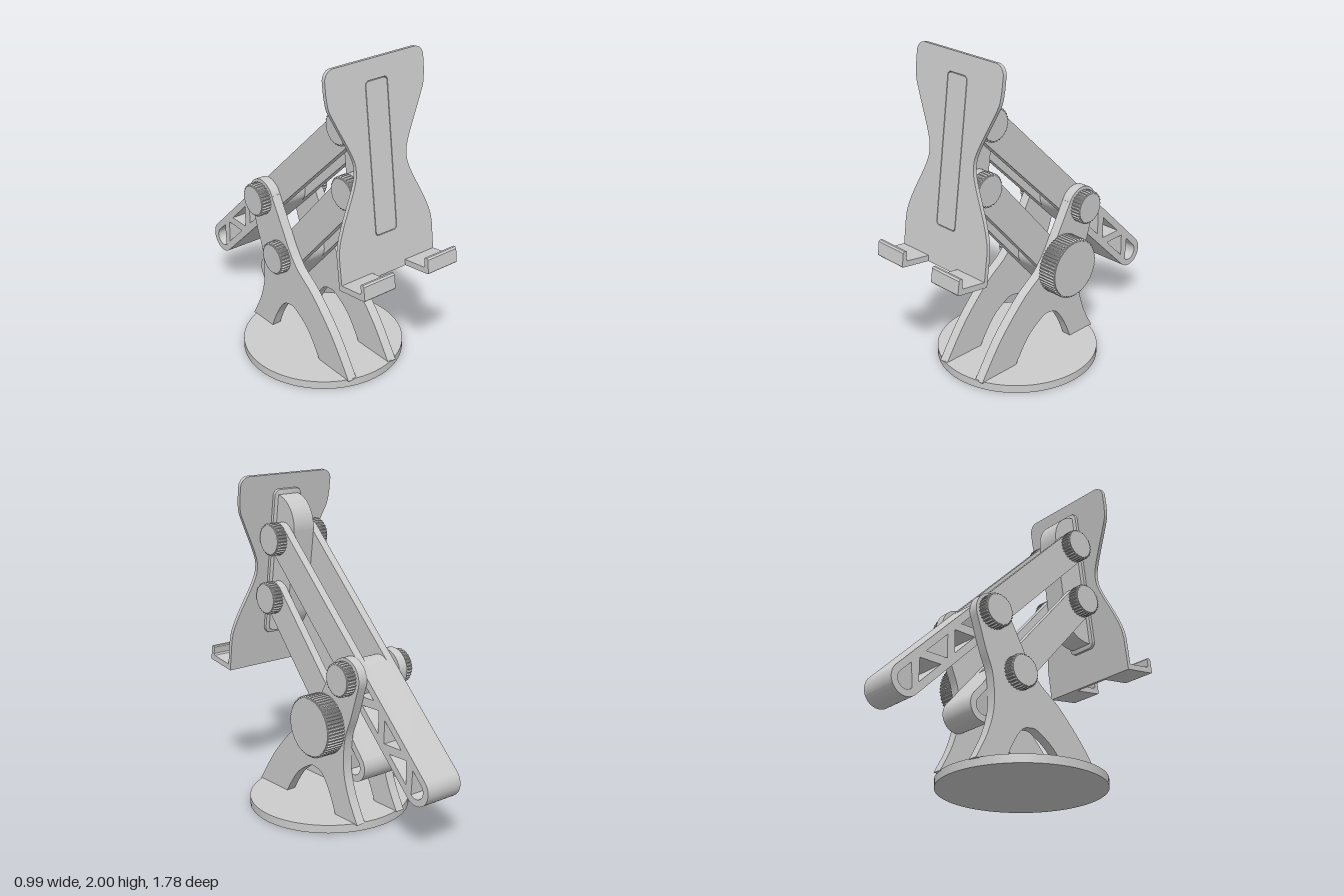
import * as THREE from 'three';
import { toCreasedNormals } from 'three/addons/utils/BufferGeometryUtils.js';

const material = new THREE.MeshStandardMaterial({ color: 0xcccccc });
const V = (x, y) => new THREE.Vector2(x, y);

function mesh(name, geometry, parent) {
  const m = new THREE.Mesh(geometry, material);
  m.name = name;
  parent.add(m);
  return m;
}

// Extrusion from depth a to depth b, with smooth curves and sharp edges
function slab(shape, a, b, bevel = 0) {
  const g = new THREE.ExtrudeGeometry(shape, {
    depth: b - a - 2 * bevel, curveSegments: 20,
    bevelEnabled: bevel > 0, bevelSize: bevel, bevelThickness: bevel, bevelOffset: -bevel, bevelSegments: 2,
  });
  return toCreasedNormals(g.translate(0, 0, a + bevel), 0.5);
}

// Turns a side profile (horizontal = -z, vertical = y) so its depth runs along x
const sideways = (g) => g.rotateY(Math.PI / 2);

function roundedRect(w, y0, y1, r) {
  const s = new THREE.Shape();
  s.absarc(w - r, y0 + r, r, -Math.PI / 2, 0);
  s.absarc(w - r, y1 - r, r, 0, Math.PI / 2);
  s.absarc(-w + r, y1 - r, r, Math.PI / 2, Math.PI);
  s.absarc(-w + r, y0 + r, r, Math.PI, Math.PI * 1.5);
  return s;
}

// Knurled thumb knob reaching from |x| = inner to |x| = outer
function knob(name, parent, z, y, radius, inner, outer, side, ridges) {
  const pts = [];
  const steps = ridges * 4;
  for (let i = 0; i < steps; i++) {
    const t = (i / steps) * Math.PI * 2;
    const r = radius - (i % 4 < 2 ? 0 : 0.008);
    pts.push(V(Math.cos(t) * r, Math.sin(t) * r));
  }
  const a = side > 0 ? inner : -outer, b = side > 0 ? outer : -inner;
  const k = mesh(name, sideways(slab(new THREE.Shape(pts), a, b, 0.008)), parent);
  k.position.set(0, y, z);
  // Plain round cap standing just proud of the knurling
  const cap = new THREE.CylinderGeometry(radius - 0.012, radius - 0.012, outer - inner + 0.003, 40);
  cap.rotateZ(Math.PI / 2).translate(side * (inner + outer + 0.003) / 2, 0, 0);
  mesh(name + 'Cap', cap, parent).position.set(0, y, z);
}

// Round-ended bar along +x with cut-outs
function bar(u0, u1, r, holes) {
  const s = new THREE.Shape();
  s.absarc(u1, 0, r, -Math.PI / 2, Math.PI / 2);
  s.absarc(u0, 0, r, Math.PI / 2, Math.PI * 1.5);
  s.closePath();
  s.holes.push(...holes);
  return s;
}

// Forked arm: two full-length rails, solid across behind its pivot
function arm(name, parent, pivot, angle, front, back, triangles) {
  const group = new THREE.Group();
  group.name = name;
  parent.add(group);
  const holes = triangles.map((t) => new THREE.Path(t.map(([u, v]) => V(u, v))));
  const end = new THREE.Path();
  end.moveTo(back - 0.01, -0.055);
  end.absarc(back, 0, 0.055, -Math.PI / 2, Math.PI / 2);
  end.lineTo(back - 0.095, 0.055);
  end.closePath();
  holes.push(end);
  const place = (g) => sideways(g.rotateZ(angle).translate(-pivot[0], pivot[1], 0));
  for (const a of [-0.125, 0.075]) {
    mesh('armRail', place(slab(bar(-front, back, 0.096, holes), a, a + 0.05)), group);
  }
  mesh('armCore', place(slab(bar(0, back, 0.096, holes), -0.075, 0.075)), group);
}

// Side cheek of the stand: two curved feet with an arch and a neck up to the top pivot
function cheekShape() {
  const s = new THREE.Shape();
  s.moveTo(-0.585, 0.045);
  s.splineThru([V(-0.43, 0.27), V(-0.245, 0.466), V(-0.1, 0.575), V(-0.02, 0.67), V(0.045, 0.784), V(0.152, 0.97)]);
  s.absarc(0.26, 0.92, 0.12, 2.7, -0.32, true);
  s.splineThru([V(0.31, 0.69), V(0.257, 0.546), V(0.247, 0.36), V(0.29, 0.2), V(0.37, 0.045)]);
  s.lineTo(0.17, 0.045);
  s.splineThru([V(0.115, 0.17), V(0.045, 0.27), V(-0.02, 0.295), V(-0.08, 0.285), V(-0.2, 0.2), V(-0.31, 0.045)]);
  s.closePath();
  return s;
}

// Tilted device holder, built upright with its lower front edge at the origin
function holder(parent) {
  const g = new THREE.Group();
  g.name = 'holder';
  g.position.set(0, 0.783, 0.7);
  g.rotation.x = -0.139;
  parent.add(g);

  // Waisted back plate with a slot
  const H = 1.232;
  const right = [V(0.34, 0.2), V(0.328, 0.27), V(0.29, 0.37), V(0.2, 0.56), V(0.18, 0.65),
    V(0.2, 0.74), V(0.295, 0.94), V(0.33, 1.02), V(0.34, 1.1)];
  const s = new THREE.Shape();
  s.moveTo(-0.34, 0);
  s.lineTo(0.34, 0);
  s.lineTo(0.34, 0.2);
  s.splineThru(right.slice(1));
  s.absarc(0.28, H - 0.06, 0.06, 0, Math.PI / 2);
  s.absarc(-0.28, H - 0.06, 0.06, Math.PI / 2, Math.PI);
  s.lineTo(-0.34, 1.1);
  s.splineThru(right.slice(0, -1).reverse().map((p) => V(-p.x, p.y)));
  s.closePath();
  s.holes.push(new THREE.Path(roundedRect(0.077, 0.24, 1.117, 0.022).getPoints(8)));
  mesh('backPlate', slab(s, -0.024, 0), g);
  mesh('slotInsert', slab(roundedRect(0.073, 0.244, 1.113, 0.02), -0.03, 0), g);
  mesh('mountFlange', slab(roundedRect(0.1, 0.215, 1.142, 0.04), -0.046, -0.023, 0.006), g);

  // Mounting tongue gripped by both arms
  const t = new THREE.Shape();
  t.moveTo(0.025, 0.245);
  t.lineTo(0.04, 0.245);
  t.absellipse(0.04, 0.425, 0.184, 0.18, -Math.PI / 2, 0);
  t.absellipse(0.04, 0.92, 0.184, 0.19, 0, Math.PI / 2);
  t.lineTo(0.025, 1.11);
  t.closePath();
  mesh('mountTongue', sideways(slab(t, -0.074, 0.074)), g);

  // Pair of hooked rests
  const lip = new THREE.Shape([[0.02, 0], [-0.185, 0], [-0.19, 0.005], [-0.19, 0.085], [-0.182, 0.095],
    [-0.168, 0.095], [-0.163, 0.088], [-0.163, 0.045], [-0.155, 0.035], [0.02, 0.035]].map(([x, y]) => V(x, y)));
  for (const a of [-0.34, 0.122]) mesh('restHook', sideways(slab(lip, a, a + 0.218)), g);
}

export function createModel() {
  const model = new THREE.Group();
  model.name = 'deviceStand';

  // Round base
  mesh('base', new THREE.CylinderGeometry(0.494, 0.494, 0.05, 72), model).position.set(0, 0.025, 0.113);

  // Side cheeks
  for (const a of [-0.185, 0.125]) mesh('sideCheek', sideways(slab(cheekShape(), a, a + 0.06)), model);

  // Parallel arms, with truss cut-outs behind the pivots
  const truss = [
    [[0.06, 0.053], [0.105, -0.04], [0.197, 0.053]],
    [[0.165, -0.053], [0.358, -0.053], [0.262, 0.048]],
    [[0.328, 0.053], [0.426, -0.048], [0.526, 0.053]],
    [[0.492, -0.053], [0.69, -0.053], [0.59, 0.048]],
  ];
  arm('upperArm', model, [-0.26, 0.92], -0.778, 0.997, 0.752, truss);
  arm('lowerArm', model, [-0.07, 0.6], -0.851, 0.8645, 0.3, [[[0.04, -0.053], [0.235, -0.053], [0.138, 0.048]]]);

  holder(model);

  // Knobs on every pivot; the main one is larger
  for (const side of [1, -1]) {
    knob('upperHolderKnob', model, 0.45, 1.62, 0.1, 0.12, 0.187, side, 30);
    knob('lowerHolderKnob', model, 0.5, 1.25, 0.1, 0.12, 0.187, side, 30);
    knob('topPivotKnob', model, -0.26, 0.92, 0.103, 0.183, 0.247, side, 30);
  }
  knob('mainKnob', model, -0.073, 0.6, 0.187, 0.183, 0.303, 1, 56);
  knob('mainPivotKnob', model, -0.073, 0.6, 0.103, 0.183, 0.247, -1, 30);

  return model;
}
